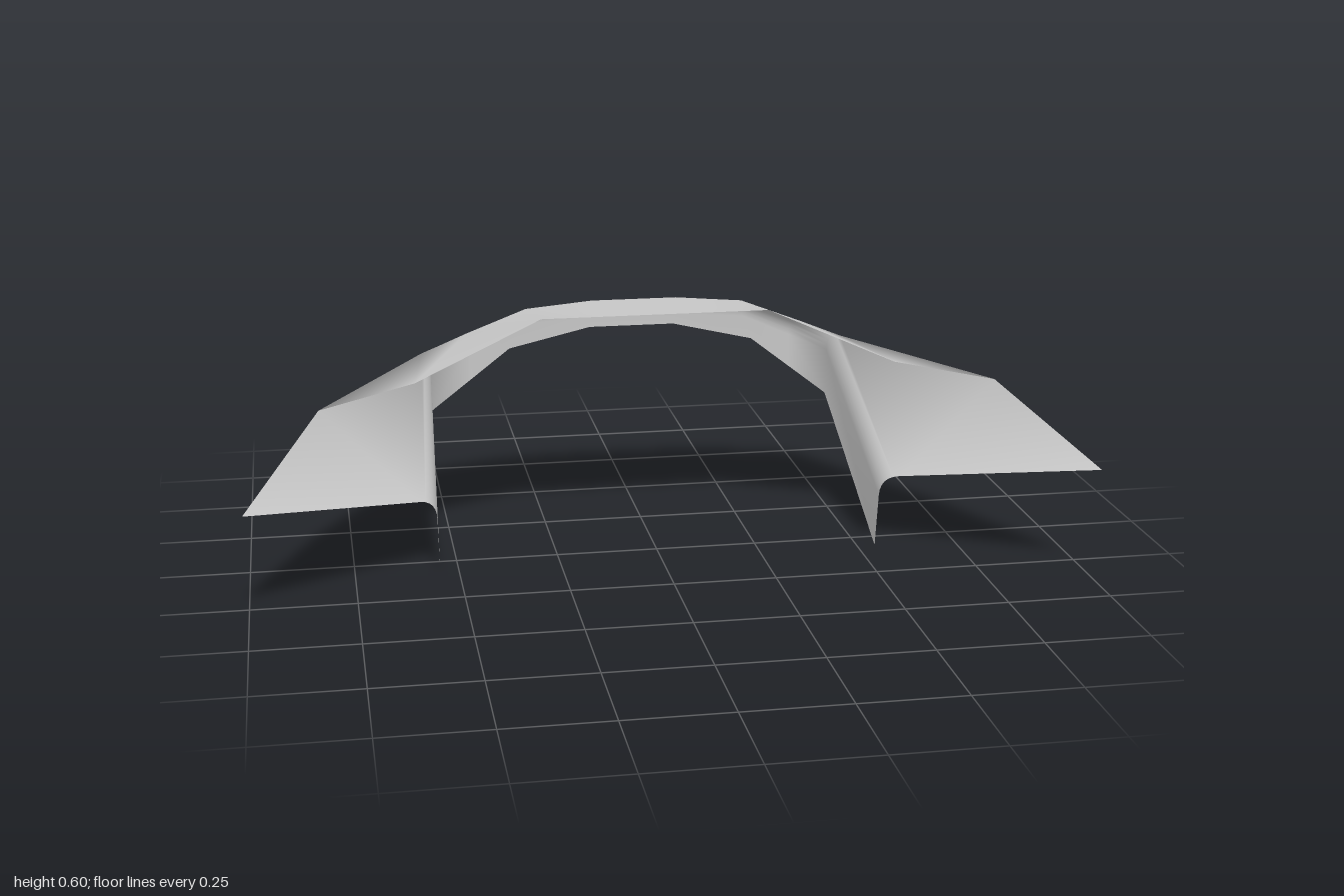
import * as THREE from 'three';

// Half of the arch: each station gives [front rim, bend line, inner rim]
const HALF = [
  [[0.11, 0.6, -0.01], [0.11, 0.557, -0.385], [0.11, 0.48, -0.39]],
  [[0.28, 0.6, -0.01], [0.28, 0.54, -0.386], [0.32, 0.43, -0.395]],
  [[0.59, 0.467, 0.035], [0.42, 0.488, -0.388], [0.42, 0.352, -0.397]],
  [[0.82, 0.435, 0.12], [0.525, 0.44, -0.39], [0.525, 0.27, -0.4]],
  [[1, 0.28, 0.4], [0.55, 0.185, 0.08], [0.545, 0, 0.065]],
];
const FILLET = 0.05;
const FILLET_STEPS = 6;

// Section running from the front rim, round the bend, to the inner rim
function section([rim, bend, inner], side) {
  const [a, b, c] = [rim, bend, inner].map(([x, y, z]) => new THREE.Vector3(x * side, y, z));
  const start = b.clone().add(a.clone().sub(b).setLength(FILLET));
  const end = b.clone().add(c.clone().sub(b).setLength(FILLET));
  const curve = new THREE.QuadraticBezierCurve3(start, b, end);
  return [a, ...curve.getPoints(FILLET_STEPS), c];
}

// Skin the sections into one smooth sheet, with mirrored diagonals
function skin(sections) {
  const rows = sections[0].length;
  const index = [];
  for (let i = 0; i < sections.length - 1; i++) {
    for (let j = 0; j < rows - 1; j++) {
      const a = i * rows + j, b = a + rows, c = a + 1, d = b + 1;
      if (i >= sections.length / 2 - 1) index.push(a, b, d, a, d, c);
      else index.push(a, b, c, b, d, c);
    }
  }
  const geometry = new THREE.BufferGeometry().setFromPoints(sections.flat());
  geometry.setIndex(index);
  geometry.computeVertexNormals();
  return geometry;
}

export function createModel() {
  const group = new THREE.Group();
  const sections = [
    ...HALF.map((s) => section(s, -1)).reverse(),
    ...HALF.map((s) => section(s, 1)),
  ];
  // Arched roof, flared side wings and turned-down flange in one sheet
  const shell = new THREE.Mesh(
    skin(sections),
    new THREE.MeshStandardMaterial({ color: 0xcccccc, side: THREE.DoubleSide })
  );
  shell.name = 'archedShell';
  group.add(shell);
  return group;
}
